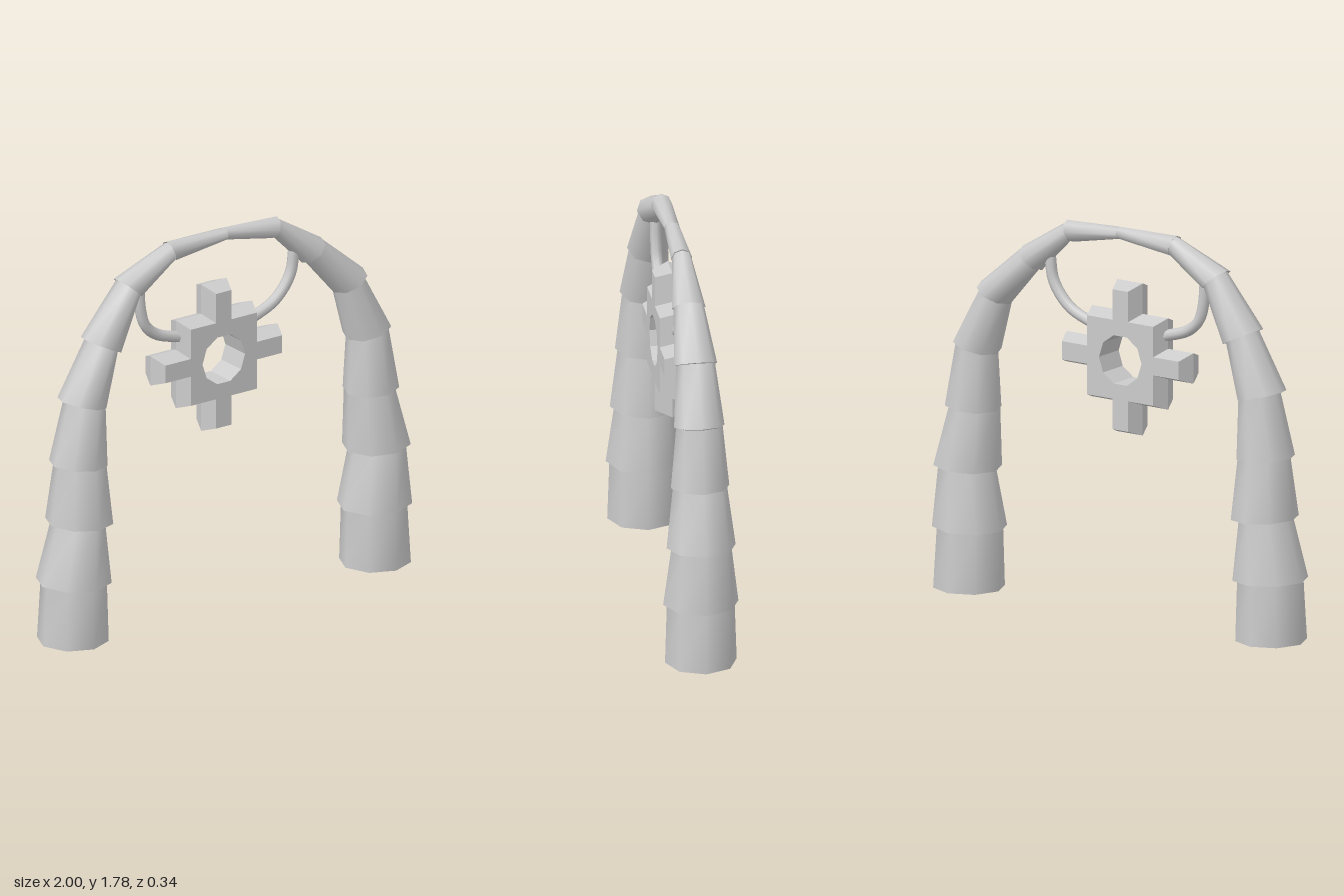
import * as THREE from 'three';

const material = new THREE.MeshStandardMaterial({ color: 0xcccccc, side: THREE.DoubleSide });

function addMesh(parent, geometry, name) {
  const mesh = new THREE.Mesh(geometry, material);
  mesh.name = name;
  parent.add(mesh);
  return mesh;
}

// Skin over closed rings of points, counter-clockwise around the direction of travel
function loft(rings, flat = false) {
  const n = rings[0].length;
  const index = [];
  for (let i = 0; i < rings.length - 1; i++) {
    for (let j = 0; j < n; j++) {
      const a = i * n + j, b = i * n + (j + 1) % n;
      index.push(a, b, b + n, a, b + n, a + n);
    }
  }
  let geometry = new THREE.BufferGeometry().setFromPoints(rings.flat());
  geometry.setIndex(index);
  if (flat) geometry = geometry.toNonIndexed();
  geometry.computeVertexNormals();
  return geometry;
}

// Eight-sided ring spanning two points in the xy plane, with half depth rz
function ring([x1, y1, x2, y2, rz]) {
  return Array.from({ length: 8 }, (_, i) => {
    const a = i * Math.PI / 4, c = Math.cos(a) / 2;
    return new THREE.Vector3(
      (x1 + x2) / 2 + (x1 - x2) * c,
      (y1 + y2) / 2 + (y1 - y2) * c,
      rz * Math.sin(a));
  });
}

// One half of the arch: pairs of (wide, narrow) rings, with a ledge under each new segment
function archHalf(sections, name) {
  const half = new THREE.Group();
  half.name = name;
  const rings = sections.map(ring);
  for (let i = 0; i < rings.length; i += 2) {
    addMesh(half, loft([rings[i], rings[i + 1]]), 'trunkSegment');
    if (i > 0) addMesh(half, loft([rings[i - 1], rings[i]]), 'segmentLedge');
  }
  return half;
}

// Outer x, y, inner x, y, half depth
const rightSections = [
  [-0.995, 0, -0.67, 0, 0.162], [-0.975, 0.285, -0.68, 0.28, 0.153],
  [-1, 0.285, -0.655, 0.275, 0.17], [-0.915, 0.565, -0.69, 0.555, 0.135],
  [-0.95, 0.565, -0.645, 0.55, 0.156], [-0.91, 0.84, -0.675, 0.828, 0.122],
  [-0.935, 0.845, -0.67, 0.825, 0.132], [-0.855, 1.135, -0.68, 1.1, 0.105],
  [-0.89, 1.145, -0.675, 1.09, 0.114], [-0.74, 1.405, -0.61, 1.34, 0.088],
  [-0.765, 1.415, -0.59, 1.33, 0.097], [-0.57, 1.655, -0.48, 1.575, 0.068],
  [-0.585, 1.66, -0.475, 1.565, 0.076], [-0.31, 1.777, -0.285, 1.69, 0.044],
  [-0.315, 1.782, -0.285, 1.685, 0.048], [0, 1.778, 0, 1.722, 0.035],
];
// Inner and outer are swapped on this side to keep the winding
const leftSections = [
  [0.67, 0, 0.995, 0, 0.162], [0.68, 0.28, 0.975, 0.285, 0.153],
  [0.66, 0.275, 1, 0.285, 0.17], [0.72, 0.555, 0.97, 0.565, 0.135],
  [0.685, 0.55, 0.995, 0.565, 0.156], [0.69, 0.828, 0.915, 0.84, 0.122],
  [0.685, 0.825, 0.935, 0.845, 0.132], [0.7, 1.1, 0.88, 1.135, 0.105],
  [0.68, 1.09, 0.895, 1.145, 0.114], [0.615, 1.34, 0.75, 1.405, 0.088],
  [0.605, 1.333, 0.765, 1.415, 0.097], [0.43, 1.535, 0.52, 1.62, 0.068],
  [0.43, 1.515, 0.535, 1.612, 0.076], [0.265, 1.68, 0.29, 1.76, 0.044],
  [0.26, 1.67, 0.293, 1.767, 0.048], [0, 1.722, 0, 1.778, 0.035],
];

// Curved tendril holding the pendant
function tendril(points, name) {
  const curve = new THREE.CatmullRomCurve3(points.map(([x, y]) => new THREE.Vector3(x, y, 0)));
  return [new THREE.TubeGeometry(curve, 14, 0.026, 8), name];
}

// Stepped cross outline, counter-clockwise, drawn in by the given inset
function crossOutline(inset) {
  const arm = 0.07 - inset, body = 0.21 - inset, tip = 0.35 - inset;
  const corner = [[tip, -arm], [tip, arm], [body, arm], [body, body], [arm, body]];
  const points = [];
  for (let q = 0; q < 4; q++) {
    const c = [1, 0, -1, 0][q], s = [0, 1, 0, -1][q];
    // The last corner of the quadrant joins the next arm
    for (const [x, y] of corner) points.push(new THREE.Vector2(x * c - y * s, x * s + y * c));
    points.push(new THREE.Vector2(-body * s + arm * c, body * c + arm * s));
  }
  return points.filter((p, i) => i === 0 || p.distanceTo(points[i - 1]) > 1e-5);
}

function createPendant() {
  const pendant = new THREE.Group();
  pendant.name = 'pendant';
  const depth = 0.075;
  const at = (points, z) => points.map(p => new THREE.Vector3(p.x, p.y, z));
  const outer = crossOutline(0), inner = crossOutline(0.028);
  const hole = Array.from({ length: 10 }, (_, i) => {
    const a = -i * Math.PI / 5;
    return new THREE.Vector2(0.117 * Math.cos(a), 0.117 * Math.sin(a));
  });

  // Sides slope in both ways from a ridge at mid depth
  addMesh(pendant, loft([at(inner, -depth), at(outer, 0), at(inner, depth)], true), 'pendantRim');
  addMesh(pendant, loft([at(hole, -depth), at(hole, depth)], true), 'pendantHole');

  const face = new THREE.Shape(inner);
  face.holes.push(new THREE.Path(hole));
  const geometry = new THREE.ShapeGeometry(face);
  addMesh(pendant, geometry, 'pendantFront').position.z = depth;
  const back = addMesh(pendant, geometry, 'pendantBack');
  back.rotation.y = Math.PI;
  back.position.z = -depth;

  pendant.position.set(-0.055, 1.185, 0);
  return pendant;
}

export function createModel() {
  const model = new THREE.Group();
  model.name = 'archWithPendant';
  model.add(archHalf(rightSections, 'rightArchHalf'), archHalf(leftSections, 'leftArchHalf'));
  addMesh(model, ...tendril(
    [[-0.47, 1.6], [-0.46, 1.49], [-0.435, 1.41], [-0.375, 1.355], [-0.24, 1.31]], 'rightTendril'));
  addMesh(model, ...tendril(
    [[0.385, 1.59], [0.37, 1.49], [0.33, 1.42], [0.265, 1.36], [0.13, 1.305]], 'leftTendril'));
  model.add(createPendant());
  return model;
}
